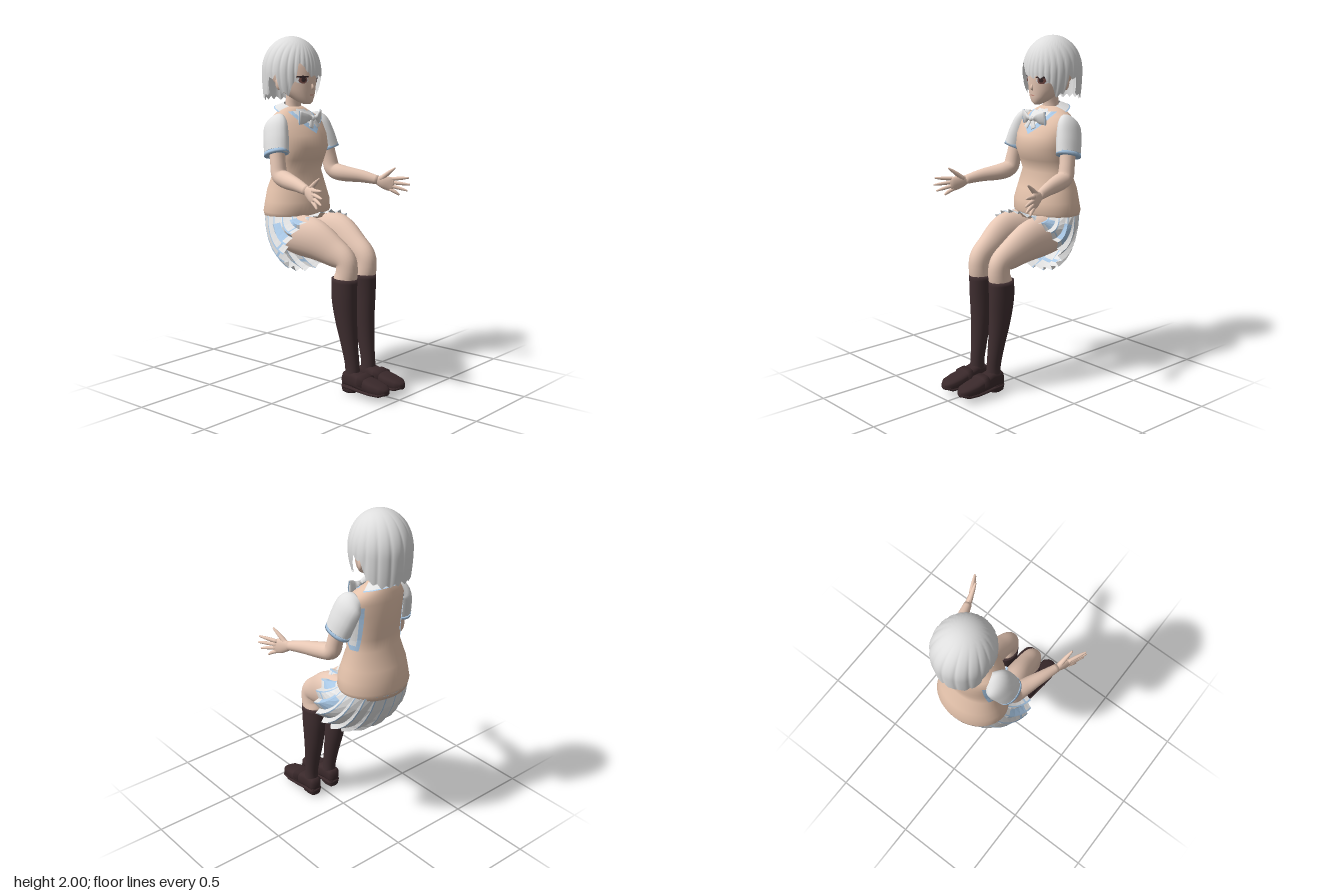
import * as THREE from 'three';
import { mergeVertices } from 'three/addons/utils/BufferGeometryUtils.js';

const D = { side: THREE.DoubleSide };
const paint = (name, color, o = {}) => Object.assign(new THREE.MeshStandardMaterial({ color, ...o }), { name });
const TAU = Math.PI * 2;
const lerp = THREE.MathUtils.lerp;

// linear lookup in a table whose first column is the key
function at(rows, k) {
  let i = 0;
  while (i < rows.length - 2 && k > rows[i + 1][0]) i++;
  const a = rows[i], b = rows[i + 1];
  const t = THREE.MathUtils.clamp((k - a[0]) / (b[0] - a[0]), 0, 1);
  return a.map((v, j) => lerp(v, b[j], t));
}

// closed smooth skin over rings of points, faces turned outward
function loft(rings) {
  const n = rings[0].length, pos = [], idx = [];
  rings.forEach(r => r.forEach(p => pos.push(...p)));
  for (let i = 0; i < rings.length - 1; i++) for (let j = 0; j < n; j++) {
    const a = i * n + j, b = i * n + (j + 1) % n;
    idx.push(a, b, a + n, b, b + n, a + n);
  }
  [0, rings.length - 1].forEach((r, e) => {
    const c = pos.length / 3;
    pos.push(...[0, 1, 2].map(k => rings[r].reduce((s, p) => s + p[k], 0) / n));
    for (let j = 0; j < n; j++) {
      const a = r * n + j, b = r * n + (j + 1) % n;
      idx.push(...(e ? [a, b, c] : [b, a, c]));
    }
  });
  const v = i => new THREE.Vector3().fromArray(pos, idx[i] * 3);
  let vol = 0;
  for (let i = 0; i < idx.length; i += 3) vol += v(i).dot(v(i + 1).cross(v(i + 2)));
  if (vol < 0) idx.reverse();
  const g = new THREE.BufferGeometry();
  g.setAttribute('position', new THREE.Float32BufferAttribute(pos, 3));
  g.setIndex(idx);
  g.computeVertexNormals();
  return g;
}

// tube through [x, y, z, in-plane radius, sideways radius]
function limb(pts, s = 1, steps = 20, n = 18) {
  const path = new THREE.CatmullRomCurve3(pts.map(p => new THREE.Vector3(p[0], p[1], p[2] * s)), false, 'catmullrom');
  const rad = new THREE.CatmullRomCurve3(pts.map(p => new THREE.Vector3(p[3], p[4] ?? p[3], 0)), false, 'catmullrom');
  const rings = [];
  for (let i = 0; i <= steps; i++) {
    const c = path.getPoint(i / steps), T = path.getTangent(i / steps), r = rad.getPoint(i / steps);
    const B = new THREE.Vector3(0, 0, 1).addScaledVector(T, -T.z).normalize(), N = B.clone().cross(T);
    rings.push(Array.from({ length: n }, (_, j) => c.clone()
      .addScaledVector(N, r.x * Math.cos(j / n * TAU)).addScaledVector(B, r.y * Math.sin(j / n * TAU)).toArray()));
  }
  return loft(rings);
}

// stacked ellipses [y, centre x, x radius, z radius]
const stack = (rows, n = 36) => loft(rows.map(([y, c, rx, rz]) => Array.from({ length: n }, (_, j) =>
  [c + rx * Math.cos(j / n * TAU), y, rz * Math.sin(j / n * TAU)])));

// open faceted sheet from fn(u, v), keeping the cells that pick accepts
function sheet(us, vs, fn, pick = () => true) {
  const pos = [];
  for (let i = 0; i < us.length - 1; i++) for (let j = 0; j < vs.length - 1; j++) {
    if (!pick(i, j)) continue;
    const [a, b, c, d] = [fn(us[i], vs[j]), fn(us[i + 1], vs[j]), fn(us[i + 1], vs[j + 1]), fn(us[i], vs[j + 1])];
    pos.push(...a, ...b, ...c, ...a, ...c, ...d);
  }
  const g = new THREE.BufferGeometry();
  g.setAttribute('position', new THREE.Float32BufferAttribute(pos, 3));
  g.computeVertexNormals();
  return g;
}
const smooth = g => {
  g.deleteAttribute('normal');
  const m = mergeVertices(g);
  m.computeVertexNormals();
  return m;
};
const steps = n => Array.from({ length: n + 1 }, (_, i) => i / n);

const HEAD = [[1.615, -.18, .02, .018], [1.63, -.195, .048, .042], [1.66, -.222, .08, .07], [1.7, -.252, .112, .093],
  [1.75, -.275, .14, .108], [1.82, -.285, .15, .118], [1.88, -.29, .14, .11], [1.94, -.295, .09, .08], [1.965, -.295, .03, .03]];
const TORSO = [[.96, -.265, .16, .205], [1, -.26, .172, .22], [1.06, -.255, .167, .212], [1.13, -.26, .15, .195],
  [1.23, -.255, .11, .167], [1.3, -.24, .125, .17], [1.37, -.23, .145, .178], [1.44, -.238, .136, .182],
  [1.51, -.26, .11, .185], [1.55, -.275, .085, .155], [1.58, -.285, .065, .1], [1.6, -.285, .05, .06]];
const surfaceX = (rows, y, z) => {
  const [, c, rx, rz] = at(rows, y);
  return c + rx * Math.sqrt(Math.max(0, 1 - (z / rz) ** 2));
};

export function createModel() {
  const root = new THREE.Group();
  const skin = paint('skin', 0xecccb9), vest = paint('vest peach', 0xe5c3ac), white = paint('cloth white', 0xe2e2e2, D);
  const blue = paint('trim blue', 0xa9c8e6, D), hair = paint('hair silver', 0xdedede, D), sock = paint('sock brown', 0x3f2e30);
  const shoe = paint('shoe brown', 0x3a292b), dark = paint('lash dark', 0x3a2a2c, D), iris = paint('iris', 0x7a4e48, D), lip = paint('lip', 0xc98f80, D);
  const add = (name, geo, mat) => {
    const m = new THREE.Mesh(geo, mat);
    m.name = name;
    root.add(m);
    return m;
  };

  // head, neck and face
  add('head', stack(HEAD), skin);
  add('neck', limb([[-.29, 1.55, 0, .05], [-.285, 1.62, 0, .045], [-.27, 1.7, 0, .05]]), skin);
  add('nose', limb([[-.142, 1.735, 0, .003], [-.134, 1.71, 0, .009], [-.143, 1.697, 0, .003]], 1, 8, 10), skin);
  const facePatch = (name, y, z, w, h, mat, lift) => add(name, sheet(steps(16), [0, .5, 1], (u, v) => {
    const zz = z - w * v * Math.cos(u * TAU), yy = y + h * v * Math.sin(u * TAU);
    return [surfaceX(HEAD, yy, zz) + lift, yy, zz];
  }), mat);
  facePatch('mouth', 1.668, 0, .018, .003, lip, .003);
  for (const s of [1, -1]) {
    facePatch('eyeWhite', 1.752, s * .06, .029, .019, white, .002);
    facePatch('iris', 1.753, s * .058, .019, .02, iris, .004);
    facePatch('pupil', 1.755, s * .058, .01, .013, dark, .006);
    facePatch('upperLash', 1.771, s * .062, .032, .006, dark, .006);
    const ear = add('ear', new THREE.SphereGeometry(1, 14, 10), skin);
    ear.scale.set(.024, .04, .014);
    ear.position.set(-.28, 1.735, s * .122);
    ear.rotation.y = s * .4;
  }

  // bobbed hair: strands fan out from a whorl ahead of the crown, hem given by signed angle in degrees
  const HEM = [[-180, 1.635], [-140, 1.625], [-108, 1.66], [-98, 1.75], [-82, 1.765], [-72, 1.67], [-55, 1.655], [-45, 1.73], [-30, 1.765],
    [0, 1.76], [18, 1.78], [24, 1.825], [36, 1.83], [42, 1.75], [55, 1.66], [72, 1.67], [82, 1.765], [98, 1.75], [108, 1.66], [140, 1.625], [180, 1.635]];
  const groove = a => Math.abs(((a / TAU * 22 + 22) % 1) - .5) * 2;
  add('hair', smooth(sheet(steps(180), steps(24), (u, v) => {
    const a = (u - .5) * TAU, c = Math.cos(a), s = Math.sin(a);
    const low = at(HEM, a / TAU * 360)[1] + .02 * groove(a), rim = Math.max(1.8, low), thMax = Math.acos((rim - 1.8) / .2);
    const th = Math.min(1, v / .65) * thMax, y = v < .65 ? 1.8 + .2 * Math.cos(th) : lerp(rim, low, (v - .65) / .35);
    const r = y >= 1.8 ? Math.sin(th) : 1 - (c < -.3 ? .07 : .2) * ((1.8 - y) / .17) ** 2;
    const dx = .178 * r * c - .075, dz = .165 * r * s, far = Math.min(1, Math.hypot(dx, dz) / .12);
    const k = 1 - .035 * far * r * groove(Math.atan2(dz, dx)) ** 3;
    return [-.297 + .178 * r * c * k, y, dz * k];
  })), hair);

  // vest with shirt showing at the armholes and neckline
  add('vest', stack(TORSO, 48), vest);
  const neckline = (name, low, wide, mat, lift) => add(name, sheet(steps(10), steps(6), (u, v) => {
    const y = lerp(1.575, low, v), z = (u * 2 - 1) * wide * (1 - v * v);
    return [surfaceX(TORSO, y, z) + lift, y, z];
  }), mat);
  neckline('necklineTrim', 1.45, .095, blue, .004);
  neckline('shirtFront', 1.49, .07, white, .008);
  const armhole = (name, s, low, half, mat, lift) => add(name, sheet(steps(6), steps(8), (u, v) => {
    const y = lerp(1.5, low, v), a = Math.PI / 2 + .25 + (u * 2 - 1) * half * Math.sqrt(1 - .8 * v * v);
    const [, c, rx, rz] = at(TORSO, y);
    return [c + (rx + lift) * Math.cos(a), y, s * (rz + lift) * Math.sin(a)];
  }), mat);

  // collar and bow
  const collar = (u, v) => {
    const a = u * TAU, c = Math.cos(a);
    return [-.28 + lerp(.06, .115, v) * c, lerp(1.605, 1.565, v) - lerp(.02, .04, v) * c, lerp(.056, .118, v) * Math.sin(a)];
  };
  add('collar', sheet(steps(32), [0, .4, .88], collar), white);
  add('collarTrim', sheet(steps(32), [.88, 1], collar), blue);
  for (const s of [1, -1]) {
    armhole('armholeTrim', s, 1.24, .5, blue, .003);
    armhole('shirtSide', s, 1.27, .34, white, .006);
    add('bowLoop', limb([[-.14, 1.535, .005, .014, .014], [-.143, 1.537, .05, .012, .032], [-.158, 1.54, .09, .008, .042]].map(
      ([x, y, z, a, b]) => [x, y, z, b, a]), s, 8, 10), white);
    add('bowEdge', limb([[-.157, 1.58, .088, .003], [-.152, 1.54, .093, .003], [-.157, 1.5, .088, .003]], s, 6, 8), blue);
    add('bowTail', limb([[-.135, 1.53, .008, .006, .012], [-.118, 1.485, .032, .005, .018]], s, 4, 8), white);
  }
  add('bowKnot', new THREE.SphereGeometry(.016, 12, 8), white).position.set(-.135, 1.535, 0);

  // plain shorts under the pleated skirt
  const shorts = add('shorts', new THREE.SphereGeometry(1, 24, 16), white);
  shorts.scale.set(.13, .1, .16);
  shorts.position.set(-.25, .88, 0);

  // skirt: waist loop bends into a forward-facing hem loop
  const us = [], pleats = 20, vs = [0, .2, .4, .6, .76, .82, .93, 1];
  for (let p = 0; p < pleats; p++) us.push(...[0, .62, .74].map(k => (p + k) / pleats));
  us.push(1);
  const skirt = (u, v) => {
    const a = u * TAU, f = (u * pleats + 1e-6) % 1, k = 1 + .13 * v * ((f < .74 ? f / .74 : (1 - f) / .26) - .6);
    const c = Math.cos(a) * k, s = Math.sin(a) * k, b = [(1 - v) ** 2, 2 * v * (1 - v), v * v];
    const mix = (p, q, r) => b[0] * p + b[1] * q + b[2] * r;
    return [mix(-.265 + .165 * c, -.21 + .15 * c, -.095 + .075 * c), mix(.985, .8525 + .1475 * c, .83 + .18 * c), mix(.21, .27, .275) * s];
  };
  const isBlue = (i, j) => {
    const p = Math.floor(i / 3), side = Math.min(p, pleats - 1 - p);
    return i % 3 === 1 || (j === 4 && i % 3 === 0) || ((side === 2 || side === 4) && j > 0 && j < 5);
  };
  add('skirt', sheet(us, vs, skirt, (i, j) => !isBlue(i, j)), white);
  add('skirtStripes', sheet(us, vs, skirt, isBlue), blue);

  // shoe cross-sections [x, top, bottom, half width]
  const SHOE = [[.165, .1, .055, .025], [.18, .125, .042, .04], [.25, .132, .04, .046], [.31, .118, .036, .054],
    [.38, .102, .033, .06], [.44, .088, .033, .05], [.465, .074, .04, .028], [.472, .064, .048, .01]];
  const HEEL = [[.167, .07, .01, .026], [.178, .07, .002, .036], [.215, .065, 0, .042], [.25, .06, .008, .042], [.258, .055, .014, .036]];
  const shoeLoft = (rows, z) => loft(rows.map(([x, t, b, w]) => Array.from({ length: 20 }, (_, j) => {
    const c = Math.cos(j / 20 * TAU), s = Math.sin(j / 20 * TAU), q = p => Math.sign(p) * Math.abs(p) ** .65;
    return [x, (t + b) / 2 + (t - b) / 2 * q(s), z + w * q(c)];
  })));

  for (const s of [1, -1]) {
    // short sleeves and bare arms
    add('sleeve', limb([[-.278, 1.535, .13, .04, .028], [-.262, 1.505, .172, .08, .046], [-.238, 1.43, .197, .086, .056], [-.213, 1.34, .219, .081, .058]], s), white);
    add('cuff', limb([[-.219, 1.358, .215, .0825, .0595], [-.212, 1.337, .22, .082, .0595]], s, 3), blue);
    add('arm', limb([[-.222, 1.4, .208, .045], [-.2, 1.29, .223, .044], [-.178, 1.222, .23, .047], [-.11, 1.2, .242, .047],
      [0, 1.187, .28, .037, .034], [.1, 1.168, .312, .026, .023]], s, 30), skin);
    add('palm', limb([[.075, 1.172, .306, .018, .015], [.125, 1.16, .322, .038, .018], [.165, 1.148, .34, .042, .014], [.185, 1.145, .35, .034, .009]], s, 12), skin);
    const tips = [[.265, 1.188, .39], [.272, 1.148, .392], [.26, 1.112, .384], [.215, 1.085, .366]];
    tips.forEach(([x, y, z], i) => add('finger', limb([[.165, 1.178 - i * .02, .342, .011], [(x + .175) / 2, (y + 1.178 - i * .02) / 2, (z + .345) / 2, .01],
      [x, y, z, .005]], s, 8, 10), skin));
    add('thumb', limb([[.115, 1.175, .315, .016], [.165, 1.215, .326, .012], [.205, 1.245, .336, .005]], s, 8, 10), skin);

    // legs, knee socks and shoes
    add('leg', limb([[-.3, .885, .095, .09, .085], [-.16, .875, .108, .114, .095], [-.03, .862, .11, .118, .082], [.1, .805, .095, .09, .066],
      [.178, .762, .087, .068, .057], [.19, .7, .085, .065, .056], [.175, .64, .085, .07, .058]], s, 36, 24), skin);
    add('sock', limb([[.173, .66, .085, .078, .064], [.172, .55, .085, .078, .061], [.182, .42, .08, .066, .055], [.203, .28, .075, .05, .045],
      [.22, .17, .072, .043, .038], [.225, .1, .072, .044, .04]], s, 24, 20), sock);
    add('shoe', shoeLoft(SHOE, s * .073), shoe);
    add('sole', shoeLoft(SHOE.map(([x, , , w]) => [x, x > .46 ? .058 : .05, x > .46 ? .038 : .028, w * 1.05]), s * .073), shoe);
    add('shoeStrap', shoeLoft([[.295, .128, .05, .055], [.335, .12, .05, .059]], s * .073), shoe);
    add('heel', shoeLoft(HEEL, s * .073), shoe);
  }
  return root;
}
